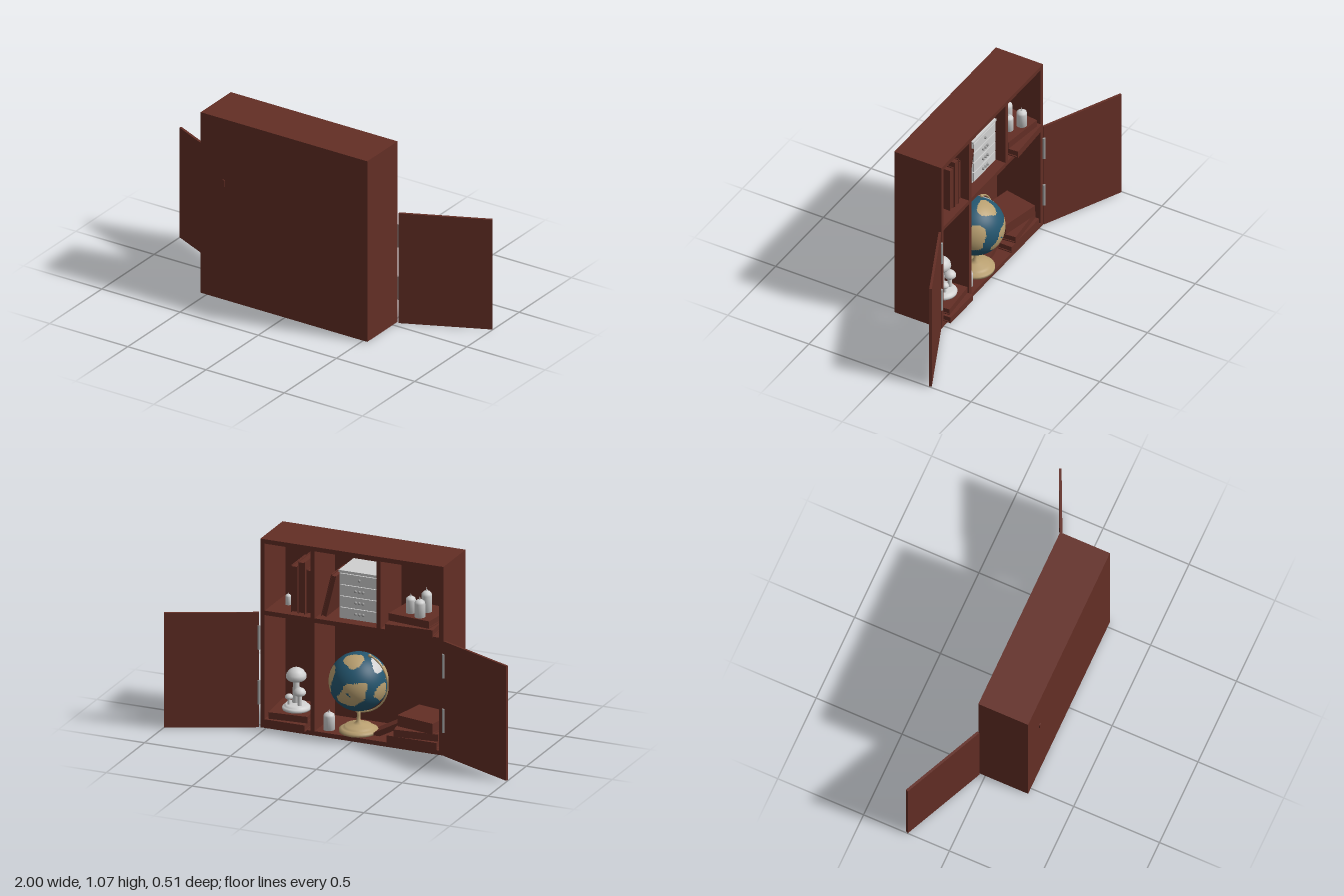
import * as THREE from 'three';

const mat = (name, color) => Object.assign(new THREE.MeshStandardMaterial({ color }), { name });

export function createModel() {
  const wood = mat('red brown wood', 0x632e25);
  const ocean = mat('ocean blue', 0x24566f);
  const tan = mat('tan', 0xb89f70);
  const white = mat('off white', 0xd0d0d0);
  const metal = mat('hinge grey', 0x9a9a9a);
  const root = new THREE.Group();

  const add = (name, geo, material, x = 0, y = 0, z = 0, parent = root) => {
    const m = new THREE.Mesh(geo, material);
    m.name = name;
    m.position.set(x, y, z);
    parent.add(m);
    return m;
  };
  const group = (name, x, y, z, parent = root) => {
    const g = new THREE.Group();
    g.name = name;
    g.position.set(x, y, z);
    parent.add(g);
    return g;
  };
  // box given by its limits on each axis
  const slab = (name, x0, x1, y0, y1, z0, z1, material = wood, parent = root) =>
    add(name, new THREE.BoxGeometry(x1 - x0, y1 - y0, z1 - z0), material,
      (x0 + x1) / 2, (y0 + y1) / 2, (z0 + z1) / 2, parent);
  const lathe = (pts, seg = 32) => new THREE.LatheGeometry(pts.map(p => new THREE.Vector2(...p)), seg);

  // Cabinet, open towards -z
  const T = 0.025, F = -0.04, B = 0.25;
  slab('backPanel', -0.535, 0.53, 0, 1.07, B - 0.02, B);
  slab('leftSide', 0.53 - T, 0.53, 0, 1.07, F, B - 0.02);
  slab('rightSide', -0.535, -0.535 + T, 0, 1.07, F, B - 0.02);
  slab('topPanel', -0.51, 0.505, 1.07 - T, 1.07, F, B - 0.02);
  slab('bottomPanel', -0.51, 0.505, 0, T, F, B - 0.02);
  slab('middleShelf', -0.51, 0.505, 0.64, 0.665, F, B - 0.02);
  slab('lowerDivider', 0.215, 0.24, T, 0.64, F, B - 0.02);
  slab('upperLeftDivider', 0.215, 0.24, 0.665, 1.045, F, B - 0.02);
  slab('upperRightDivider', -0.17, -0.145, 0.665, 1.045, F, B - 0.02);

  // Open doors and their hinges
  for (const s of [1, -1]) {
    const door = group(s > 0 ? 'leftDoor' : 'rightDoor', s * 0.54, 0, -0.037);
    door.rotation.y = s * Math.atan2(0.212, 0.458);
    slab('doorPanel', s > 0 ? 0 : -0.504, s > 0 ? 0.504 : 0, 0, 0.65, -0.007, 0.007, wood, door);
    for (const y of [0.51, 0.2])
      add('hinge', new THREE.CylinderGeometry(0.008, 0.008, 0.135, 12), metal, s * 0.537, y, -0.045);
  }

  // Closed book lying flat: two covers, a spine and an inset block, standing on y
  const book = (x, y, z, w, h, d, turn = 0, pages = wood) => {
    const g = group('book', x, y, z);
    const c = Math.min(0.006, h * 0.15);
    slab('lowerCover', -w / 2, w / 2, 0, c, -d / 2, d / 2, wood, g);
    slab('upperCover', -w / 2, w / 2, h - c, h, -d / 2, d / 2, wood, g);
    slab('spine', -w / 2, w / 2, c, h - c, -d / 2, -d / 2 + c, wood, g);
    slab('pageBlock', -w / 2 + 0.006, w / 2 - 0.006, c, h - c, -d / 2 + c, d / 2 - 0.006, pages, g);
    g.rotation.y = turn;
    return g;
  };
  // Upright book
  const upright = (x, z, t, h, d, lean = 0) => {
    const g = group('uprightBook', x, 0.665, z);
    slab('leftCover', t / 2 - 0.005, t / 2, 0, h, -d / 2, d / 2, wood, g);
    slab('rightCover', -t / 2, -t / 2 + 0.005, 0, h, -d / 2, d / 2, wood, g);
    slab('pageBlock', -t / 2 + 0.005, t / 2 - 0.005, 0.005, h - 0.006, -d / 2 + 0.002, d / 2 - 0.005, wood, g);
    g.rotation.z = lean;
  };

  // Candle with a domed top and a wick
  const candle = (x, y, z, r, h) => {
    const g = group('candle', x, y, z);
    add('candleBody', lathe([[0, 0], [r, 0], [r, h * 0.75], [r * 0.9, h * 0.86], [r * 0.5, h * 0.95], [0, h * 0.97]], 20), white, 0, 0, 0, g);
    add('wick', new THREE.ConeGeometry(r * 0.22, h * 0.2, 8), white, 0, h * 1.04, 0, g);
  };

  // Upper left compartment: upright books and a small ornament
  upright(0.35, 0.09, 0.038, 0.265, 0.18);
  upright(0.307, 0.09, 0.042, 0.295, 0.19);
  upright(0.263, 0.1, 0.04, 0.25, 0.18);
  candle(0.43, 0.665, 0.1, 0.016, 0.06);

  // Upper middle compartment: leaning book and drawer chest
  upright(0.183, 0.09, 0.03, 0.25, 0.17, 0.24);
  const chest = group('drawerChest', -0.022, 0.665, 0.11);
  slab('chestBody', -0.12, 0.12, 0, 0.27, -0.085, 0.1, white, chest);
  slab('chestTop', -0.122, 0.122, 0.262, 0.274, -0.094, 0.102, white, chest);
  for (let i = 0; i < 4; i++) {
    const y = 0.008 + i * 0.064;
    slab('drawerFront', -0.113, 0.113, y, y + 0.056, -0.094, -0.085, white, chest);
    for (const x of i === 3 ? [0] : [-0.022, 0, 0.022])
      add('drawerKnob', new THREE.SphereGeometry(0.008, 10, 8), metal, x, y + 0.03, -0.097, chest);
  }

  // Upper right compartment: stacked books with candles
  book(-0.34, 0.668, 0.07, 0.27, 0.042, 0.28, 0.05);
  slab('bookCorner', -0.393, -0.378, 0.67, 0.71, 0.2, 0.256);
  book(-0.345, 0.71, 0.08, 0.25, 0.042, 0.23, -0.12);
  candle(-0.38, 0.752, 0.0, 0.029, 0.1);
  candle(-0.31, 0.752, 0.04, 0.027, 0.095);
  candle(-0.38, 0.752, 0.09, 0.029, 0.12);

  // Lower left compartment: stacked books with mushroom ornament
  book(0.375, 0.025, 0.06, 0.235, 0.038, 0.27);
  book(0.375, 0.063, 0.065, 0.22, 0.037, 0.23, 0.08);
  const ornament = group('mushroomOrnament', 0.36, 0.1, 0.05);
  add('ornamentBase', lathe([[0, 0], [0.075, 0], [0.078, 0.01], [0.072, 0.018], [0.06, 0.02], [0.058, 0.032], [0, 0.036]]), white, 0, 0, 0, ornament);
  for (const [x, z, h, r] of [[0.006, 0.01, 0.175, 0.056], [-0.03, -0.025, 0.1, 0.034], [0.03, -0.03, 0.07, 0.022]]) {
    add('mushroomStem', new THREE.CylinderGeometry(r * 0.28, r * 0.42, h, 16), white, x, h / 2 + 0.01, z, ornament);
    add('mushroomCap', lathe([[0, 0], [r * 0.8, -r * 0.25], [r, 0], [r * 0.95, r * 0.35], [r * 0.7, r * 0.72], [r * 0.36, r * 0.92], [0, r]], 24), white, x, h, z, ornament);
  }

  // Lower right compartment: candle, stacked books and a leaning book
  candle(0.157, 0.025, 0.02, 0.031, 0.1);
  book(-0.35, 0.025, 0.06, 0.29, 0.04, 0.2);
  book(-0.36, 0.065, 0.07, 0.25, 0.04, 0.2, 0.1);
  book(-0.375, 0.105, 0.09, 0.23, 0.062, 0.2, -0.2);
  const leaning = book(-0.17, 0.045, 0.1, 0.2, 0.03, 0.14, 0, white);
  leaning.rotation.z = -0.5;

  // Globe: land chosen per face from rounded patches [x, y, z, angular radius, is ice]
  const patches = [
    [0.02, 0.91, -0.41, 0.36], [-0.67, 0.74, -0.03, 0.3, 1], [-0.32, -0.04, -0.95, 0.36],
    [0.02, -0.38, -0.92, 0.32], [-0.95, -0.13, -0.28, 0.34], [-0.9, 0.3, 0.3, 0.3],
    [0.87, 0.02, -0.49, 0.36], [0.75, 0.35, -0.55, 0.26], [0.3, 0.5, 0.8, 0.5],
    [-0.3, -0.3, 0.9, 0.4], [0.6, -0.7, 0.3, 0.3],
  ].map(([x, y, z, r, ice]) => ({ d: new THREE.Vector3(x, y, z).normalize(), r, ice }));
  const surface = new THREE.SphereGeometry(0.16, 96, 64);
  const pos = surface.attributes.position, index = surface.index.array;
  const faces = [[], [], []], n = new THREE.Vector3(), v = new THREE.Vector3();
  for (let i = 0; i < index.length; i += 3) {
    n.set(0, 0, 0);
    for (let k = 0; k < 3; k++) n.add(v.fromBufferAttribute(pos, index[i + k]));
    n.normalize();
    const wobble = 0.06 * Math.sin(9 * n.x + 4 * n.y) + 0.05 * Math.sin(11 * n.y - 7 * n.z);
    const hit = patches.find(p => n.angleTo(p.d) < p.r + wobble);
    faces[hit ? (hit.ice ? 2 : 1) : 0].push(index[i], index[i + 1], index[i + 2]);
  }
  surface.setIndex(faces.flat());
  let start = 0;
  faces.forEach((f, i) => { surface.addGroup(start, f.length, i); start += f.length; });
  const globe = group('globe', 0.003, 0.307, 0.06);
  add('globeBall', surface, [ocean, tan, white], 0, 0, 0, globe);
  const arc = add('meridianArm', new THREE.TorusGeometry(0.17, 0.005, 8, 48, Math.PI), tan, 0, 0, 0, globe);
  arc.rotation.z = Math.PI / 2 + 0.4;
  for (const s of [1, -1])
    add('axisPin', new THREE.SphereGeometry(0.01, 12, 8), tan, -s * 0.168 * Math.sin(0.4), s * 0.168 * Math.cos(0.4), 0, globe);
  add('globeStand', lathe([[0, -0.282], [0.105, -0.282], [0.105, -0.268], [0.09, -0.26], [0.075, -0.258],
    [0.072, -0.246], [0.03, -0.24], [0.012, -0.225], [0.009, -0.19], [0.012, -0.165], [0, -0.16]]), tan, 0, 0, 0, globe);

  return root;
}
